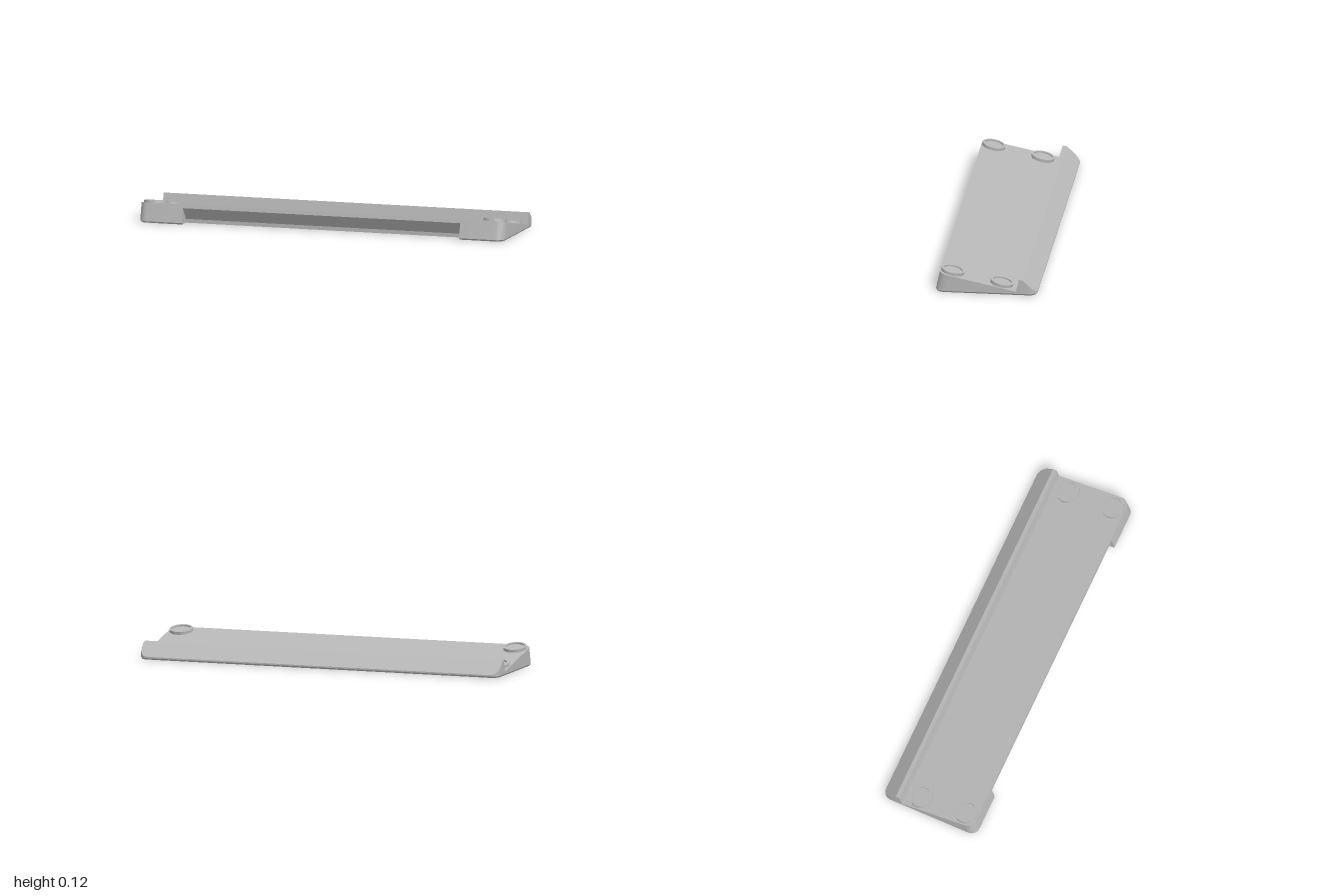
import * as THREE from 'three';
import { toCreasedNormals } from 'three/addons/utils/BufferGeometryUtils.js';

const R = 0.045, FRONT = 0.268, BACK = -0.267, BASE_Y = 0.008;
const NOTCH_X = 0.76, NOTCH_Z = 0.2, TILT = 0.21;
const slopeY = z => 0.02 + (z + 0.157) * TILT;
const arc = Array.from({ length: 9 }, (_, i) => (i / 8) * Math.PI / 2);

// Side profile as [z, y], from the front bottom over the top to the back bottom; d pulls in the rounded ends
const rear = d => [[-0.157, 0.02], [-0.172, 0.086], [-0.193, 0.082],
  [BACK + d, 0.015 + d * 0.905], [BACK + d, BASE_Y]];
const endProfile = d => [[FRONT - d, BASE_Y], [0.247 - d, slopeY(0.247 - d)], ...rear(d)];
const middleProfile = () => [[NOTCH_Z, BASE_Y], [NOTCH_Z, 0.02], [0.251, 0.085], [0.247, slopeY(0.247)], ...rear(0)];

// Skins profiles along x (ascending), open underneath
function loft(sections, capped) {
  const pos = [];
  const put = (s, i) => pos.push(s.x, s.p[i][1], s.p[i][0]);
  for (let k = 0; k + 1 < sections.length; k++) {
    const a = sections[k], b = sections[k + 1];
    for (let i = 0; i + 1 < a.p.length; i++) {
      put(a, i); put(b, i); put(b, i + 1);
      put(a, i); put(b, i + 1); put(a, i + 1);
    }
  }
  if (capped) {
    const cap = (s, flip) => {
      const pts = s.p.map(q => new THREE.Vector2(q[0], q[1]));
      for (const f of THREE.ShapeUtils.triangulateShape(pts, [])) {
        for (const i of flip ? [f[2], f[1], f[0]] : f) put(s, i);
      }
    };
    cap(sections[0], false);
    cap(sections[sections.length - 1], true);
  }
  return creased(pos);
}

function creased(pos) {
  const g = new THREE.BufferGeometry();
  g.setAttribute('position', new THREE.Float32BufferAttribute(pos, 3));
  return toCreasedNormals(g, 0.5);
}

// Plan outline as [x, z], inset by e on the outer edges
function outline(e) {
  const r = R - e;
  const corner = (zEdge, s) => arc.map(t =>
    [1 - e - r * (1 - Math.sin(t)), zEdge - s * (e + r * (1 - Math.cos(t)))]);
  const half = [[NOTCH_X, NOTCH_Z], [NOTCH_X, FRONT - e],
    ...corner(FRONT, 1), ...corner(BACK, -1).reverse()];
  return [...half, ...half.map(([x, z]) => [-x, z]).reverse()];
}

export function createModel() {
  const group = new THREE.Group();
  const grey = new THREE.MeshStandardMaterial({ color: 0xb8b8b8, side: THREE.DoubleSide });
  grey.name = 'grey';
  const add = (name, geometry) => {
    const m = new THREE.Mesh(geometry, grey);
    m.name = name;
    group.add(m);
    return m;
  };

  // Wedge with the rear hook: undercut middle and two rounded end blocks
  add('middleWedge', loft([-NOTCH_X, NOTCH_X].map(x => ({ x, p: middleProfile() })), false));
  const left = [{ x: NOTCH_X, p: endProfile(0) },
    ...arc.map(t => ({ x: 1 - R * (1 - Math.sin(t)), p: endProfile(R * (1 - Math.cos(t))) }))];
  const right = left.map(s => ({ x: -s.x, p: s.p })).reverse();
  add('leftEndBlock', loft(left, true));
  add('rightEndBlock', loft(right, true));

  // Bevel around the bottom edge
  const outer = outline(0), inner = outline(0.006), bevel = [];
  outer.forEach((a, i) => {
    const j = (i + 1) % outer.length, b = outer[j], c = inner[i], d = inner[j];
    bevel.push(a[0], BASE_Y, a[1], c[0], 0, c[1], d[0], 0, d[1],
      a[0], BASE_Y, a[1], d[0], 0, d[1], b[0], BASE_Y, b[1]);
  });
  add('bottomBevel', creased(bevel));

  // Underside with four round sockets
  const floor = new THREE.Shape(inner.map(([x, z]) => new THREE.Vector2(x, z)));
  const socketR = 0.047;
  const socket = toCreasedNormals(new THREE.LatheGeometry(
    [[0, 0.013], [socketR, 0.013], [socketR, 0]].map(p => new THREE.Vector2(...p)), 32), 0.5);
  for (const x of [-0.9, 0.9]) for (const z of [-0.18, 0.185]) {
    const hole = new THREE.Path();
    hole.absarc(x, z, socketR, 0, Math.PI * 2, true);
    floor.holes.push(hole);
    add('bottomSocket', socket).position.set(x, 0, z);
  }
  add('underside', new THREE.ShapeGeometry(floor, 16).rotateX(Math.PI / 2));

  // Raised round pads with a recessed centre, square to the slope
  const pad = toCreasedNormals(new THREE.LatheGeometry(
    [[0.061, -0.002], [0.061, 0.016], [0.05, 0.016], [0.05, 0.008], [0, 0.008]]
      .map(p => new THREE.Vector2(...p)), 40), 0.5);
  for (const x of [-0.93, 0.93]) for (const z of [-0.074, 0.184]) {
    const m = add('topPad', pad);
    m.position.set(x, slopeY(z), z);
    m.rotation.x = -Math.atan(TILT);
  }
  return group;
}
